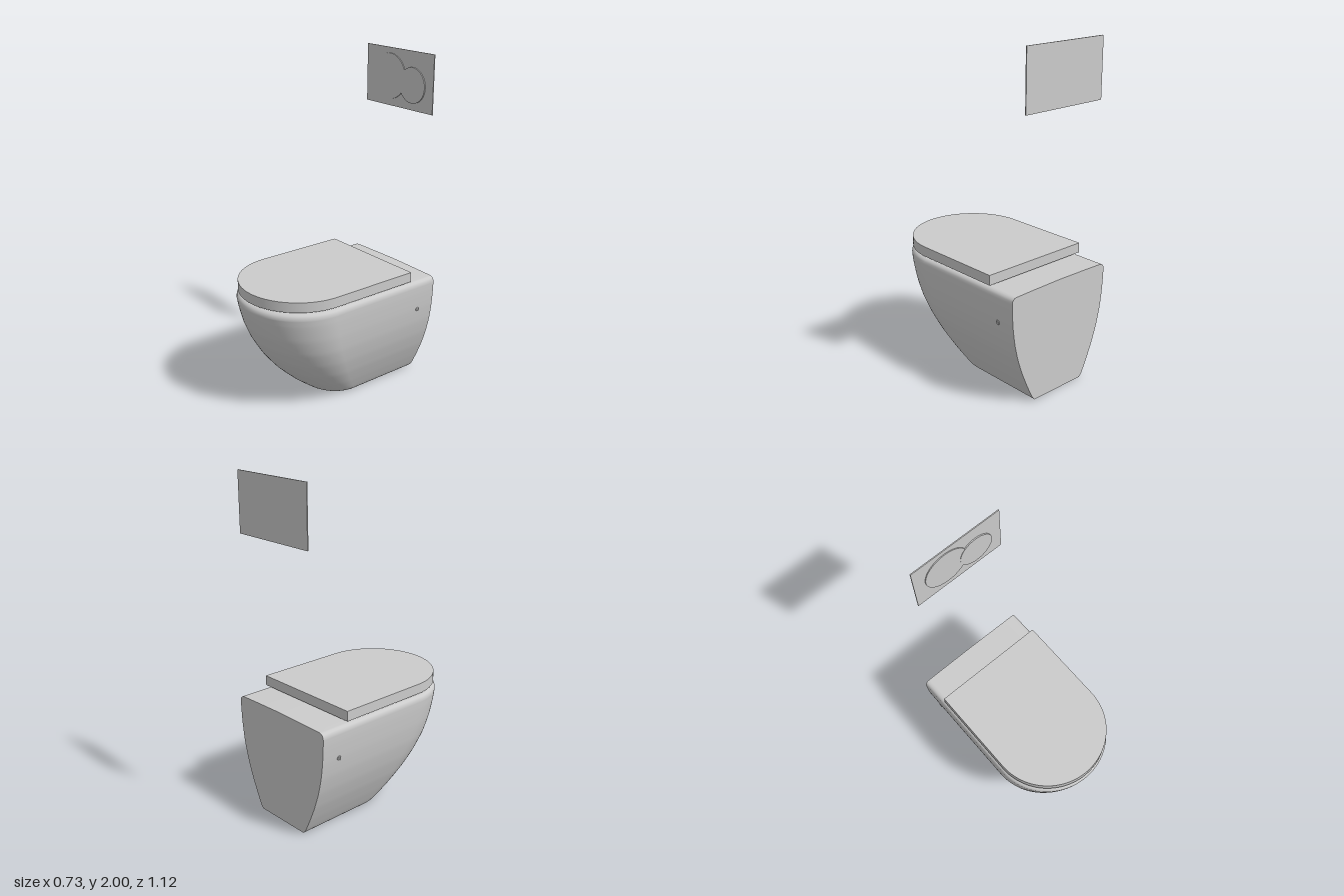
import * as THREE from 'three';
import { toCreasedNormals } from 'three/addons/utils/BufferGeometryUtils.js';

const BACK = -0.55;
const material = new THREE.MeshStandardMaterial({ color: 0xcccccc, side: THREE.DoubleSide });

function part(name, geometry, parent) {
  const mesh = new THREE.Mesh(geometry, material);
  mesh.name = name;
  parent.add(mesh);
  return mesh;
}

// U-shaped outline as [x, z]: straight sides and an elliptical front
function outline(w, front, shoulder, back, straight = 12, arc = 48) {
  const pts = [];
  for (let i = 0; i < straight; i++) pts.push([w, back + (shoulder - back) * i / straight]);
  for (let i = 0; i <= arc; i++) {
    const a = Math.PI * i / arc;
    pts.push([w * Math.cos(a), shoulder + (front - shoulder) * Math.sin(a)]);
  }
  for (let i = straight - 1; i >= 0; i--) pts.push([-w, back + (shoulder - back) * i / straight]);
  return pts;
}

// Smooth shell through a stack of U-shaped sections [y, half width, front, shoulder]
function loftShell(sections) {
  const positions = [], index = [];
  let n = 0;
  sections.forEach(([y, w, f, s]) => {
    const ring = outline(w, f, s, BACK);
    n = ring.length;
    ring.forEach(([x, z]) => positions.push(x, y, z));
  });
  for (let r = 0; r < sections.length - 1; r++) {
    for (let i = 0; i < n - 1; i++) {
      const a = r * n + i, b = a + 1, c = a + n, d = c + 1;
      index.push(a, c, b, b, c, d);
    }
  }
  const g = new THREE.BufferGeometry();
  g.setAttribute('position', new THREE.Float32BufferAttribute(positions, 3));
  g.setIndex(index);
  g.computeVertexNormals();
  return g;
}

// Interpolates the wall profile between a few measured heights
function smoothSections(rows, steps) {
  const sizes = new THREE.CatmullRomCurve3(rows.map(r => new THREE.Vector3(r[1], r[2], r[3])));
  const heights = new THREE.CatmullRomCurve3(rows.map(r => new THREE.Vector3(r[0], 0, 0)));
  return Array.from({ length: steps + 1 }, (_, i) => {
    const p = sizes.getPoint(i / steps);
    return [heights.getPoint(i / steps).x, p.x, p.y, p.z];
  });
}

function shapeFrom(points) {
  return new THREE.Shape(points.map(([x, y]) => new THREE.Vector2(x, y)));
}

export function createModel() {
  const model = new THREE.Group();
  model.name = 'wallHungToilet';

  // Bowl: tapered wall, rounded rim and slightly crowned top
  const bowl = new THREE.Group();
  bowl.name = 'bowl';
  model.add(bowl);
  const wall = smoothSections([
    [0, 0.185, 0.105, -0.08],
    [0.012, 0.198, 0.125, -0.07],
    [0.1, 0.243, 0.237, -0.01],
    [0.2, 0.286, 0.34, 0.05],
    [0.3, 0.32, 0.419, 0.1],
    [0.4, 0.344, 0.478, 0.145],
    [0.5, 0.358, 0.52, 0.175],
    [0.6, 0.365, 0.547, 0.195],
    [0.645, 0.366, 0.556, 0.2],
  ], 48);
  const rim = [
    [0.658, 0.364, 0.554, 0.2],
    [0.668, 0.358, 0.547, 0.2],
    [0.675, 0.348, 0.537, 0.2],
    [0.678, 0.334, 0.523, 0.2],
    [0.681, 0.2, 0.39, 0.19],
    [0.684, 0, 0.18, 0.18],
  ];
  const sections = [...wall, ...rim];
  part('bowlShell', loftShell(sections), bowl);

  // Flat back against the wall
  const right = sections.map(([y, w]) => [w, y]);
  const left = sections.slice(0, -1).reverse().map(([y, w]) => [-w, y]);
  const back = new THREE.ShapeGeometry(shapeFrom([...right, ...left]));
  back.rotateY(Math.PI).translate(0, 0, BACK);
  part('bowlBack', back, bowl);

  // Flat underside
  const [, w0, f0, s0] = sections[0];
  const base = new THREE.ShapeGeometry(shapeFrom(outline(w0, f0, s0, BACK)));
  base.rotateX(Math.PI / 2);
  part('bowlBase', base, bowl);

  // Fixing caps on both sides
  for (const side of [-1, 1]) {
    const cap = part(side > 0 ? 'leftFixingCap' : 'rightFixingCap',
      new THREE.TorusGeometry(0.011, 0.003, 8, 24), bowl);
    cap.position.set(side * 0.358, 0.495, -0.43);
    cap.rotation.y = Math.PI / 2;
  }

  // Seat lid
  const lidShape = shapeFrom(outline(0.358, 0.548, 0.195, -0.365, 1, 64).map(([x, z]) => [x, -z]));
  const lidGeometry = new THREE.ExtrudeGeometry(lidShape, { depth: 0.06, bevelEnabled: false });
  lidGeometry.rotateX(-Math.PI / 2);
  const lid = part('lid', toCreasedNormals(lidGeometry, 0.5), model);
  lid.position.set(0.002, 0.692, 0);

  // Flush plate with two overlapping round buttons
  const flush = new THREE.Group();
  flush.name = 'flushPlate';
  model.add(flush);
  part('plate', new THREE.BoxGeometry(0.565, 0.345, 0.006), flush).position.set(0.008, 1.8275, -0.556);
  const buttons = [
    ['largeButton', 0.135, -0.07, 1.832, 0.005],
    ['smallButton', 0.105, 0.123, 1.802, 0.007],
  ];
  for (const [name, r, x, y, depth] of buttons) {
    const disc = part(name, new THREE.CylinderGeometry(r, r, depth, 48), flush);
    disc.rotation.x = Math.PI / 2;
    disc.position.set(x, y, -0.553 + depth / 2);
  }
  return model;
}
